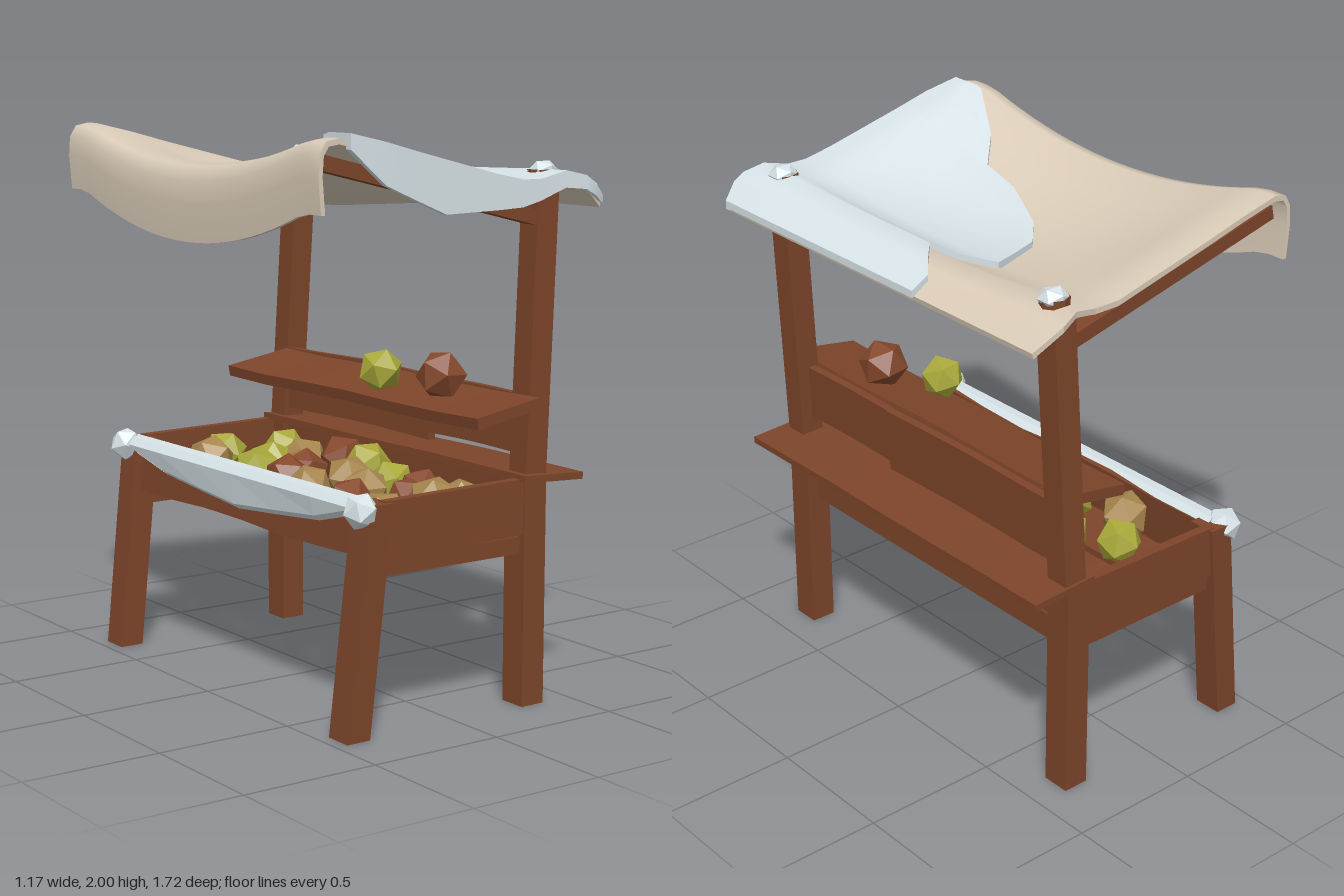
import * as THREE from 'three';

const mat = (name, color, flat = false) => {
  const m = new THREE.MeshStandardMaterial({ color });
  m.name = name;
  m.flatShading = flat;
  return m;
};

// piecewise linear lookup in a table of [x, value] pairs
function lookup(table, x) {
  for (let i = 1; i < table.length; i++) {
    const [x0, y0] = table[i - 1], [x1, y1] = table[i];
    if (x <= x1) return y0 + (y1 - y0) * Math.max(0, (x - x0) / (x1 - x0));
  }
  return table[table.length - 1][1];
}

// closed sheet: point(i, j, side) gives the outer (side 0) and inner (side 1) skin
function slab(nu, nv, point) {
  const pos = [], index = [];
  const add = (i, j, s) => { pos.push(...point(i, j, s)); return pos.length / 3 - 1; };
  for (const s of [0, 1]) {
    const base = pos.length / 3;
    for (let i = 0; i <= nu; i++) for (let j = 0; j <= nv; j++) add(i, j, s);
    for (let i = 0; i < nu; i++) for (let j = 0; j < nv; j++) {
      const a = base + i * (nv + 1) + j, b = a + 1, c = a + nv + 1, d = c + 1;
      if (s) index.push(a, c, b, b, c, d);
      else index.push(a, b, c, b, d, c);
    }
  }
  const rim = [];
  for (let j = 0; j < nv; j++) rim.push([0, j]);
  for (let i = 0; i < nu; i++) rim.push([i, nv]);
  for (let j = nv; j > 0; j--) rim.push([nu, j]);
  for (let i = nu; i > 0; i--) rim.push([i, 0]);
  rim.forEach((p, k) => {
    const q = rim[(k + 1) % rim.length];
    const a = add(...p, 0), b = add(...q, 0), c = add(...p, 1), d = add(...q, 1);
    index.push(b, a, c, b, c, d);
  });
  const g = new THREE.BufferGeometry();
  g.setAttribute('position', new THREE.Float32BufferAttribute(pos, 3));
  g.setIndex(index);
  g.computeVertexNormals();
  return g;
}

export function createModel() {
  const group = new THREE.Group();
  const wood = mat('wood', 0x7d452a, true);
  const cloth = mat('cloth', 0xdaccb8);
  const snow = mat('snow', 0xdae6ea);
  const green = mat('greenFruit', 0xa8a83a);
  const tan = mat('tanFruit', 0xa8874e);
  const rust = mat('rustFruit', 0x85482c);

  const add = (name, geo, material) => {
    const m = new THREE.Mesh(geo, material);
    m.name = name;
    group.add(m);
    return m;
  };

  // upright post whose top is shifted relative to its foot
  const post = (name, a, b, w, d) => {
    const g = new THREE.BoxGeometry(w, 1, d), p = g.attributes.position;
    for (let i = 0; i < p.count; i++) {
      const t = p.getY(i) + 0.5;
      p.setXYZ(i, p.getX(i) + a[0] + (b[0] - a[0]) * t, a[1] + (b[1] - a[1]) * t, p.getZ(i) + a[2] + (b[2] - a[2]) * t);
    }
    add(name, g, wood);
  };

  // board given by its limits, tilted in the x-y plane, with a slightly uneven edge
  const board = (name, [x0, x1], [y0, y1], [z0, z1], tilt = 0, wave = 0.006) => {
    const g = new THREE.BoxGeometry(x1 - x0, y1 - y0, z1 - z0, 1, 1, 6), p = g.attributes.position;
    for (let i = 0; i < p.count; i++) p.setY(i, p.getY(i) + wave * Math.sin(p.getZ(i) * 7 + y0 * 20 + x0 * 9));
    g.rotateZ(tilt);
    g.translate((x0 + x1) / 2, (y0 + y1) / 2, (z0 + z1) / 2);
    add(name, g, wood);
  };

  // legs, leaning posts, side boards, roof arms and snow caps on both ends
  for (const s of [1, -1]) {
    post('frontLeg', [-0.41, 0, 0.735 * s], [-0.325, 0.79, 0.745 * s], 0.092, 0.105);
    post('backLeg', [0.335, 0, 0.735 * s], [0.335, 0.8, 0.735 * s], 0.095, 0.105);
    post('backPost', [0.343, 0.8, 0.735 * s], [0.395, 1.79, 0.72 * s], 0.09, 0.09);
    board('endBoard', [-0.3, 0.345], [0.605, 0.8], [0.765 * s - 0.018, 0.765 * s + 0.018], 0.015, 0);
    board('endRail', [-0.3, 0.3], [0.54, 0.6], [0.735 * s - 0.03, 0.735 * s + 0.03], 0, 0);
    board('roofArm', [-0.55, 0.42], [1.765, 1.815], [0.73 * s - 0.03, 0.73 * s + 0.03], -0.235, 0);
    const tip = add('postTip', new THREE.CylinderGeometry(0.05, 0.05, 0.07, 8), wood);
    tip.position.set(0.4, 1.815, 0.72 * s);
    const cap = add('postSnowCap', new THREE.IcosahedronGeometry(0.055), snow);
    cap.position.set(0.405, 1.845, 0.72 * s);
    cap.scale.y = 0.7;
    const lump = add('legSnowCap', new THREE.IcosahedronGeometry(0.064), snow);
    lump.position.set(-0.38, 0.768, 0.755 * s);
    lump.rotation.set(0.3 * s, 0.4, 0.2);
  }
  board('roofRail', [0.35, 0.42], [1.7, 1.745], [-0.7, 0.7], 0, 0);

  // bin walls, rails, floor planks and counter
  board('frontBoard', [-0.35, -0.315], [0.6, 0.79], [-0.72, 0.72], -0.1);
  board('backBoard', [0.315, 0.35], [0.65, 0.8], [-0.7, 0.7], 0, 0.004);
  board('backRail', [0.3, 0.345], [0.54, 0.635], [-0.7, 0.7], 0, 0);
  for (let i = 0; i < 5; i++) {
    const x = -0.31 + i * 0.123, y = 0.585 + (i % 2) * 0.018;
    board('floorPlank', [x, x + 0.113], [y, y + 0.025], [-0.72, 0.72], (i - 2) * 0.02);
  }
  board('counter', [0.27, 0.53], [0.79, 0.815], [-0.79, 0.81], -0.05, 0.002);

  // back panel and tilted shelf
  board('backPanel', [0.325, 0.355], [0.855, 1.09], [-0.7, 0.21], -0.05, 0.004);
  board('backPanelShort', [0.32, 0.35], [0.88, 1.085], [0.21, 0.7], -0.05, 0.004);
  board('shelf', [0.035, 0.31], [1.025, 1.065], [-0.68, 0.84], 0.17, 0.004);

  // fruit
  const fruit = (material, x, y, z, r, turn) => {
    const f = add('fruit', new THREE.IcosahedronGeometry(r), material);
    f.position.set(x, y, z);
    f.rotation.set(turn, turn * 1.7, turn * 0.6);
  };
  fruit(rust, 0.183, 1.13, 0.455, 0.093, 0.6);
  fruit(green, 0.088, 1.13, 0.23, 0.082, 1.3);
  // loose fruit in the bin as x, z positions
  const heaps = [
    [green, [[0.17, -0.5], [0.2, 0], [0.16, 0.2], [-0.06, -0.56], [-0.15, -0.2], [0.02, -0.36]]],
    [tan, [[0.12, -0.29], [-0.2, -0.44], [0.16, 0.6], [-0.05, 0.33], [0.01, 0.64], [-0.2, 0.63], [-0.2, 0.2], [0.03, 0.12]]],
    [rust, [[0, -0.12], [-0.17, 0.02], [0.14, 0.4], [-0.2, 0.44], [0.2, -0.16], [0.02, 0.48]]],
  ];
  heaps.forEach(([material, spots], k) => spots.forEach(([x, z], j) => {
    const n = k * 8 + j;
    fruit(material, x, 0.725 + 0.015 * Math.sin(n * 2.3), z, 0.09 + 0.005 * Math.sin(n * 1.7), n * 0.9);
  }));

  // canopy section: x, y at the ends, sag in the middle, inward offset
  const section = [
    [-0.57, 1.74, 0.14, 0.016, 0], [-0.58, 1.86, 0.13, 0.016, 0], [-0.575, 1.93, 0.12, 0.016, -0.004],
    [-0.55, 1.97, 0.11, 0.01, -0.016], [-0.5, 1.98, 0.11, 0, -0.02], [-0.35, 1.945, 0.12, 0, -0.02],
    [-0.2, 1.905, 0.14, 0, -0.02], [0, 1.855, 0.13, 0, -0.02], [0.2, 1.805, 0.08, 0, -0.02],
    [0.3, 1.805, 0.05, 0, -0.02], [0.4, 1.83, 0.015, 0, -0.02], [0.48, 1.812, 0.01, 0, -0.02], [0.58, 1.74, 0, -0.005, -0.02],
  ];
  const reach = [[0.34, 0.8], [0.5, 0.86], [0.58, 0.82]];
  const sagAt = z => Math.max(0, 1 - (z / 0.7) ** 2);
  add('canopy', slab(section.length - 1, 24, (i, j, s) => {
    const [x, y, sag, dx, dy] = section[i];
    const z = (j / 12 - 1) * lookup(reach, x);
    return [x + dx * s, y - sag * sagAt(z) + dy * s, z];
  }), cloth);

  // snow sheet on the roof with a ragged edge
  const heights = section.slice(4).map(r => [r[0], r[1]]), sags = section.slice(4).map(r => [r[0], r[2]]);
  const heightAt = (x, z) => lookup(heights, x) - lookup(sags, x) * sagAt(z);
  const edge = [[-0.47, 0.67], [-0.34, 0.46], [-0.23, 0.35], [-0.21, 0.18], [-0.1, -0.05], [0, -0.16],
    [0.11, -0.2], [0.22, -0.24], [0.3, -0.13], [0.36, -0.05], [0.4, -0.1], [0.48, -0.19], [0.52, -0.24], [0.588, -0.24]];
  const snowReach = [[-0.47, 0.82], [-0.42, 0.835], [0.34, 0.84], [0.53, 0.865], [0.588, 0.82]];
  add('roofSnow', slab(edge.length - 1, 16, (i, j, s) => {
    const [x, z0] = edge[i];
    const z = z0 + (lookup(snowReach, x) - z0) * j / 16;
    return [x, heightAt(x, z) + (s ? -0.004 : 0.022), z];
  }), snow);

  // snow hanging over the end of the roof
  const drop = [[-0.47, 0.05], [-0.38, 0.13], [-0.1, 0.175], [0.1, 0.12], [0.3, 0.07], [0.588, 0.03]];
  add('roofSnowEdge', slab(edge.length - 1, 2, (i, j, s) => {
    const x = edge[i][0];
    return [x, heightAt(x, 0.84) + 0.02 - lookup(drop, x) * j / 2, lookup(snowReach, x) - s * 0.025];
  }), snow);

  // faceted snow drift on the front of the bin, widest in the middle
  const drift = slab(3, 6, (i, j, s) => {
    const v = j / 3 - 1, w = 0.025 + 0.1 * (1 - v * v) + 0.01 * (j % 2);
    const x = [-0.385, -0.4, -0.375, -0.335][i], y = [0.8 - w, 0.775, 0.8, 0.803][i];
    return [x + s * 0.025, y - s * 0.02, v * 0.74];
  }).toNonIndexed();
  drift.computeVertexNormals();
  add('binSnow', drift, snow);

  return group;
}
